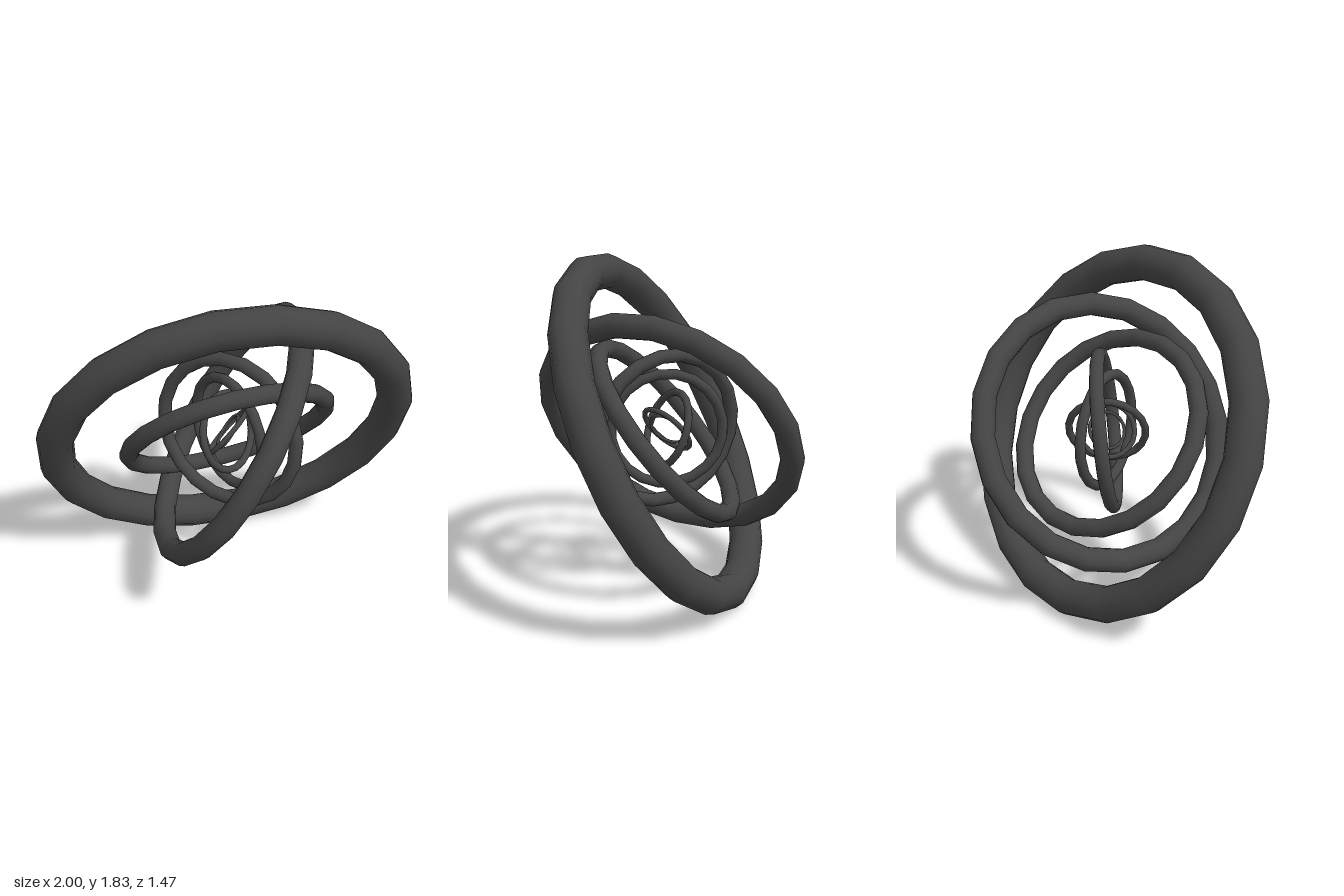
import * as THREE from 'three';

// Nested rings sharing one centre: [ring radius, tube radius, ring axis]
const RINGS = [
  [0.92, 0.095, [-0.14, -0.43, 0.89]],
  [0.70, 0.063, [0.81, -0.52, 0.27]],
  [0.546, 0.049, [-0.02, -0.634, 0.765]],
  [0.41, 0.037, [0.78, -0.12, -0.607]],
  [0.303, 0.028, [0.97, -0.03, -0.24]],
  [0.207, 0.02, [0.54, 0.35, 0.77]],
  [0.15, 0.014, [0.6, -0.6, 0.5]],
  [0.1, 0.009, [0.75, -0.55, 0.35]],
];
const SEGMENTS = 20;

export function createModel() {
  const model = new THREE.Group();
  model.name = 'nestedRings';
  const material = new THREE.MeshStandardMaterial({ color: 0x444444 });
  const up = new THREE.Vector3(0, 1, 0);

  RINGS.forEach(([radius, tube, axis], i) => {
    const geometry = new THREE.TorusGeometry(radius, tube, 12, SEGMENTS);
    // a flat segment, not a corner, sits at the highest point
    geometry.rotateZ(Math.PI / SEGMENTS);

    // turn the ring so its axis follows the given direction, kept upright
    const z = new THREE.Vector3(...axis).normalize();
    const x = new THREE.Vector3().crossVectors(up, z).normalize();
    const y = new THREE.Vector3().crossVectors(z, x);

    const ring = new THREE.Mesh(geometry, material);
    ring.name = `ring${i + 1}`;
    ring.quaternion.setFromRotationMatrix(new THREE.Matrix4().makeBasis(x, y, z));
    ring.position.y = 0.92;
    model.add(ring);
  });
  return model;
}
